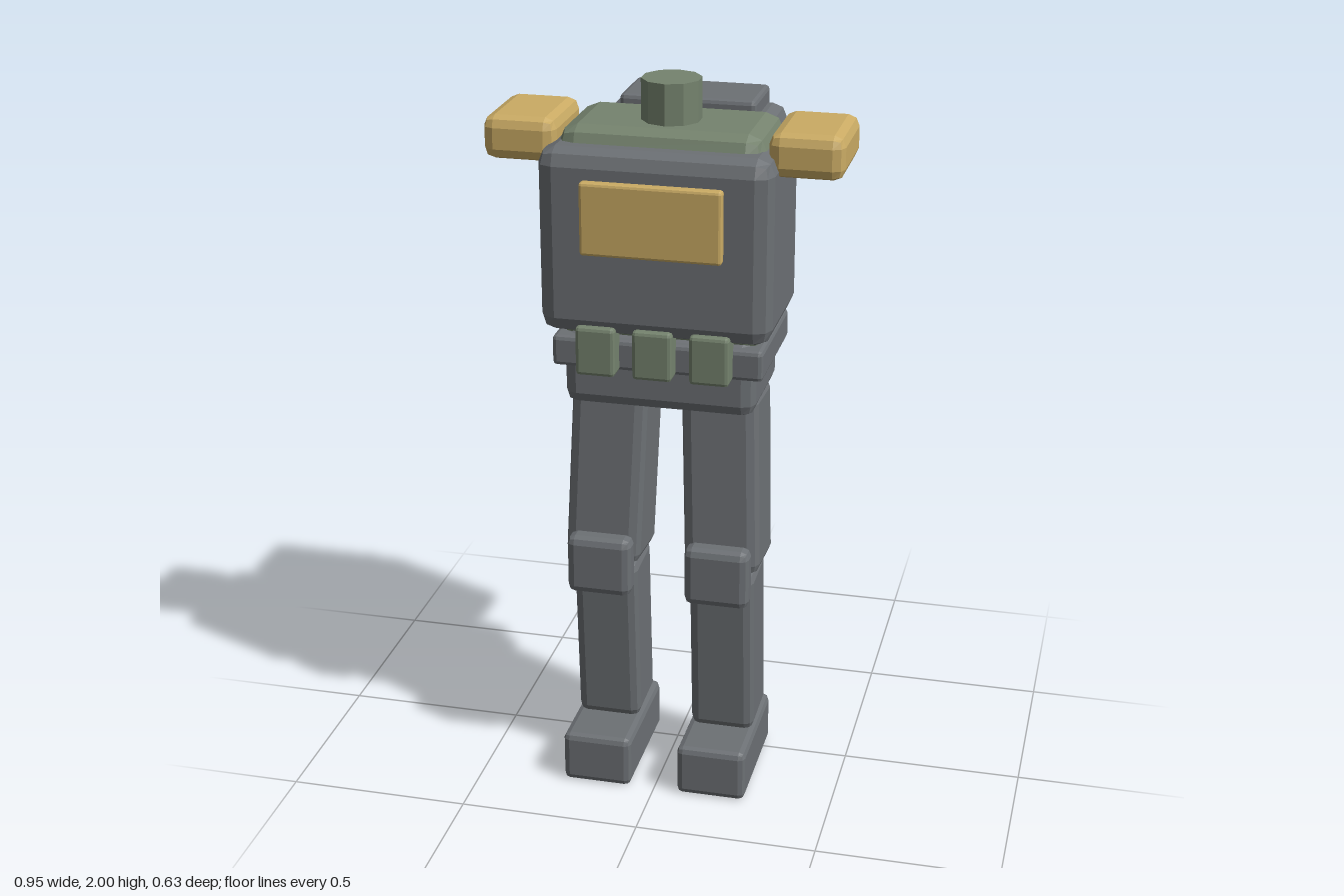
import * as THREE from 'three';
import { RoundedBoxGeometry } from 'three/addons/geometries/RoundedBoxGeometry.js';

const paint = (name, color) => {
  const m = new THREE.MeshStandardMaterial({ color, flatShading: true });
  m.name = name;
  return m;
};

export function createModel() {
  const grey = paint('armourGrey', 0x6c7074);
  const green = paint('clothGreen', 0x75836e);
  const tan = paint('trimTan', 0xcaab64);

  const model = new THREE.Group();
  model.name = 'armouredBody';

  // Bevelled block given by its extents on each axis
  const block = (name, material, [x0, x1], [y0, y1], [z0, z1], bevel, parent = model) => {
    const mesh = new THREE.Mesh(new RoundedBoxGeometry(x1 - x0, y1 - y0, z1 - z0, 1, bevel), material);
    mesh.position.set((x0 + x1) / 2, (y0 + y1) / 2, (z0 + z1) / 2);
    mesh.name = name;
    parent.add(mesh);
    return mesh;
  };

  // Torso: soft core with an armour shell around it
  block('torsoCore', green, [-0.275, 0.275], [1.3, 1.89], [-0.1, 0.22], 0.05);
  block('torsoArmour', grey, [-0.31, 0.31], [1.35, 1.85], [-0.094, 0.29], 0.045);
  block('chestPlate', tan, [-0.187, 0.187], [1.58, 1.775], [0.27, 0.315], 0.008);

  // Neck stump
  const neck = new THREE.Mesh(new THREE.CylinderGeometry(0.08, 0.08, 0.18, 10), green);
  neck.position.set(0, 1.91, 0.07);
  neck.name = 'neck';
  model.add(neck);

  // Backpack with a raised lid
  block('backpack', grey, [-0.24, 0.24], [1.305, 1.855], [-0.318, -0.1], 0.04);
  block('backpackLid', grey, [-0.187, 0.187], [1.78, 1.9], [-0.305, -0.105], 0.012);

  // Belt, hips and front pouches
  block('belt', grey, [-0.285, 0.285], [1.245, 1.33], [-0.11, 0.25], 0.012);
  block('hips', grey, [-0.26, 0.26], [1.13, 1.34], [-0.09, 0.235], 0.035);
  for (const x of [-0.153, 0, 0.153]) {
    block('pouch', green, [x - 0.053, x + 0.053], [1.245, 1.38], [0.235, 0.305], 0.01);
  }

  // Shoulders and legs, mirrored about x = 0
  for (const side of [-1, 1]) {
    const limb = new THREE.Group();
    limb.name = side > 0 ? 'leftSide' : 'rightSide';
    model.add(limb);
    const span = (a, b) => (side > 0 ? [a, b] : [-b, -a]);

    block('shoulderPad', tan, span(0.28, 0.476), [1.785, 1.902], [-0.066, 0.206], 0.03, limb);

    const thigh = block('thigh', grey, span(0.055, 0.265), [0.645, 1.165], [-0.022, 0.195], 0.03, limb);
    thigh.rotation.set(-0.075, 0, side * 0.035);

    const shin = block('shin', grey, span(0.075, 0.255), [0.145, 0.648], [-0.006, 0.18], 0.025, limb);
    shin.rotation.x = 0.065;

    block('kneePad', grey, span(0.075, 0.255), [0.575, 0.745], [0.19, 0.262], 0.022, limb);
    block('foot', grey, span(0.067, 0.262), [0, 0.148], [-0.06, 0.308], 0.018, limb);
  }
  return model;
}
